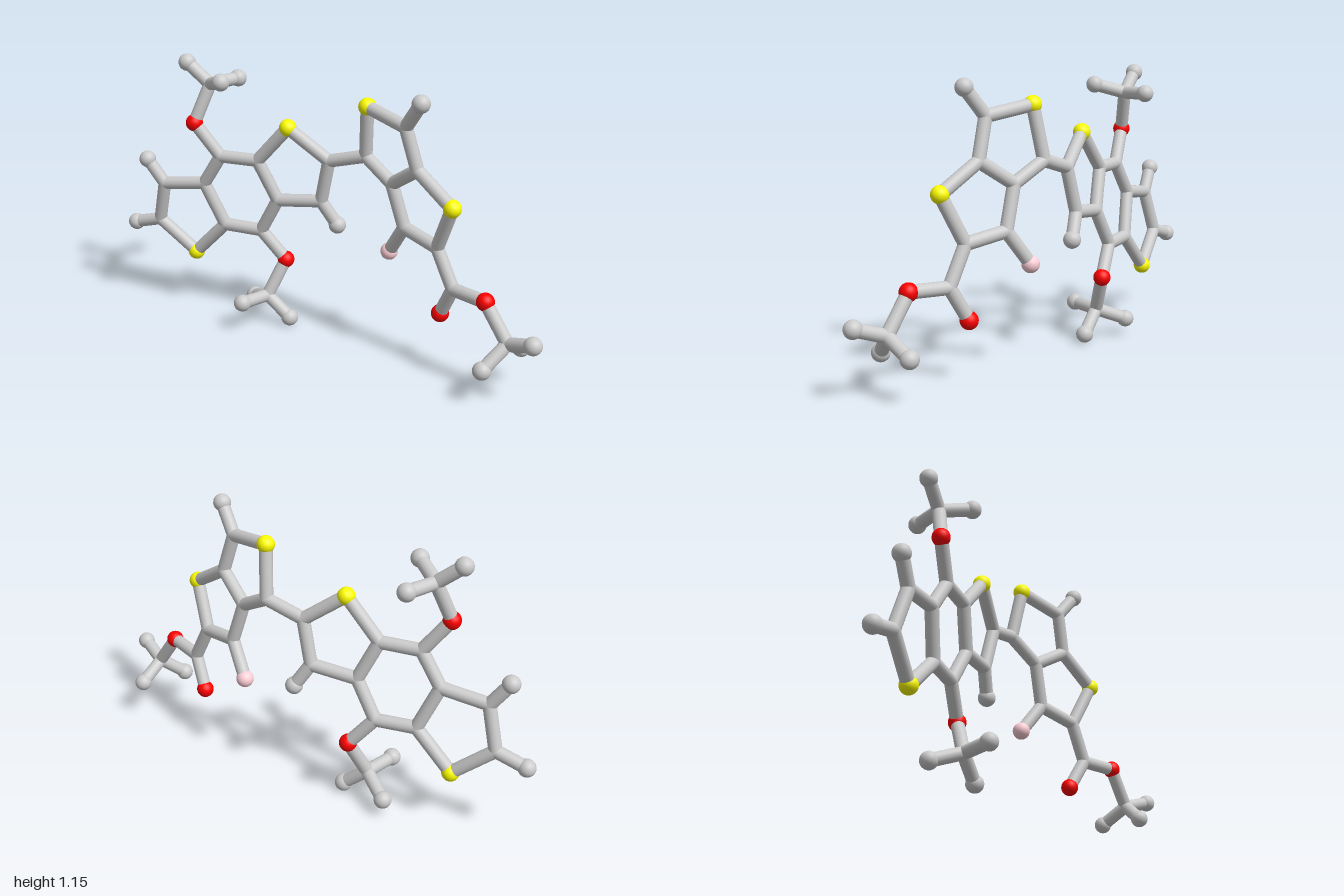
import * as THREE from 'three';

const BALL = 0.036, STICK = 0.027;
const grey = new THREE.MeshStandardMaterial({ color: 0xcccccc });
const yellow = new THREE.MeshStandardMaterial({ color: 0xffff00 });
const red = new THREE.MeshStandardMaterial({ color: 0xff0000 });
const pink = new THREE.MeshStandardMaterial({ color: 0xffd0d8 });

// Ball types: joints are flush with the rods, the others stand out
const kinds = {
  joint: [STICK, grey], tip: [BALL, grey], sulfur: [BALL, yellow],
  oxygen: [BALL, red], pinkTip: [BALL, pink],
};

// Each part: balls as name: [kind, x, y, z], and chains of rods between ball names
const parts = {
  fusedRings: {
    balls: {
      s1: ['sulfur', -0.68, 0.255, -0.025], a2: ['joint', -0.84, 0.39, 0.02],
      a3: ['joint', -0.79, 0.57, 0.04], a4: ['joint', -0.6, 0.595, 0.005],
      a5: ['joint', -0.525, 0.41, -0.035], b1: ['joint', -0.51, 0.73, 0.005],
      b2: ['joint', -0.345, 0.73, -0.03], b3: ['joint', -0.27, 0.56, -0.065],
      b4: ['joint', -0.36, 0.405, -0.07], s2: ['sulfur', -0.2, 0.89, -0.043],
      d1: ['joint', -0.035, 0.765, -0.093], d2: ['joint', -0.08, 0.58, -0.105],
      h2: ['tip', -0.967, 0.355, 0.033], h3: ['tip', -0.862, 0.672, 0.06],
      hd: ['tip', -0.018, 0.478, -0.133],
    },
    rods: ['s1 a2 a3 a4 a5 s1', 'a4 b1 b2 b3 b4 a5', 'b2 s2 d1 d2 b3', 'a2 h2', 'a3 h3', 'd2 hd'],
  },
  upperMethoxy: {
    balls: {
      o1: ['oxygen', -0.61, 0.87, 0.045], m1: ['joint', -0.56, 1.032, -0.005],
      m1a: ['tip', -0.66, 1.115, 0.015], m1b: ['tip', -0.447, 1.07, 0.073],
      m1c: ['tip', -0.515, 1.035, -0.14],
    },
    rods: ['b1 o1 m1 m1a', 'm1 m1b', 'm1 m1c'],
  },
  lowerMethoxy: {
    balls: {
      o2: ['oxygen', -0.26, 0.28, -0.107], m2: ['joint', -0.312, 0.125, -0.04],
      m2a: ['tip', -0.43, 0.072, -0.11], m2b: ['tip', -0.21, 0.038, -0.056],
      m2c: ['tip', -0.347, 0.13, 0.097],
    },
    rods: ['b4 o2 m2 m2a', 'm2 m2b', 'm2 m2c'],
  },
  doubleRing: {
    balls: {
      e1: ['joint', 0.13, 0.81, -0.107], s3: ['sulfur', 0.155, 1.025, -0.072],
      e3: ['joint', 0.36, 0.99, -0.01], e4: ['joint', 0.41, 0.825, -0.018],
      e5: ['joint', 0.27, 0.73, -0.073], s4: ['sulfur', 0.582, 0.715, 0.02],
      e7: ['joint', 0.5, 0.525, -0.028], e8: ['joint', 0.325, 0.555, -0.08],
      h4: ['tip', 0.44, 1.1, 0.024], p: ['pinkTip', 0.235, 0.42, -0.125],
    },
    rods: ['d1 e1 s3 e3 e4 e5 e1', 'e4 s4 e7 e8 e5', 'e3 h4', 'e8 p'],
  },
  esterTail: {
    balls: {
      c: ['joint', 0.578, 0.372, -0.018], o3: ['oxygen', 0.51, 0.24, -0.053],
      o4: ['oxygen', 0.74, 0.377, 0.032], m3: ['joint', 0.843, 0.233, 0.042],
      m3a: ['tip', 0.963, 0.275, 0.087], m3b: ['tip', 0.785, 0.145, 0.135],
      m3c: ['tip', 0.85, 0.17, -0.077],
    },
    rods: ['e7 c o4 m3 m3a', 'c o3', 'm3 m3b', 'm3 m3c'],
  },
};

const sphere = new THREE.SphereGeometry(1, 24, 16);
const cylinder = new THREE.CylinderGeometry(STICK, STICK, 1, 20, 1, true);
const UP = new THREE.Vector3(0, 1, 0);

// A rod spanning two points
function rod(a, b) {
  const mesh = new THREE.Mesh(cylinder, grey);
  const dir = b.clone().sub(a);
  mesh.name = 'rod';
  mesh.position.copy(a).add(b).multiplyScalar(0.5);
  mesh.scale.y = dir.length();
  mesh.quaternion.setFromUnitVectors(UP, dir.normalize());
  return mesh;
}

export function createModel() {
  const model = new THREE.Group();
  model.name = 'molecule';
  const at = {};
  for (const [partName, { balls, rods }] of Object.entries(parts)) {
    const part = new THREE.Group();
    part.name = partName;
    for (const [id, [kind, x, y, z]] of Object.entries(balls)) {
      const [radius, material] = kinds[kind];
      const ball = new THREE.Mesh(sphere, material);
      ball.name = kind;
      ball.position.set(x, y, z);
      ball.scale.setScalar(radius);
      at[id] = ball.position;
      part.add(ball);
    }
    for (const chain of rods) {
      const ids = chain.split(' ');
      for (let i = 1; i < ids.length; i++) part.add(rod(at[ids[i - 1]], at[ids[i]]));
    }
    model.add(part);
  }
  return model;
}
